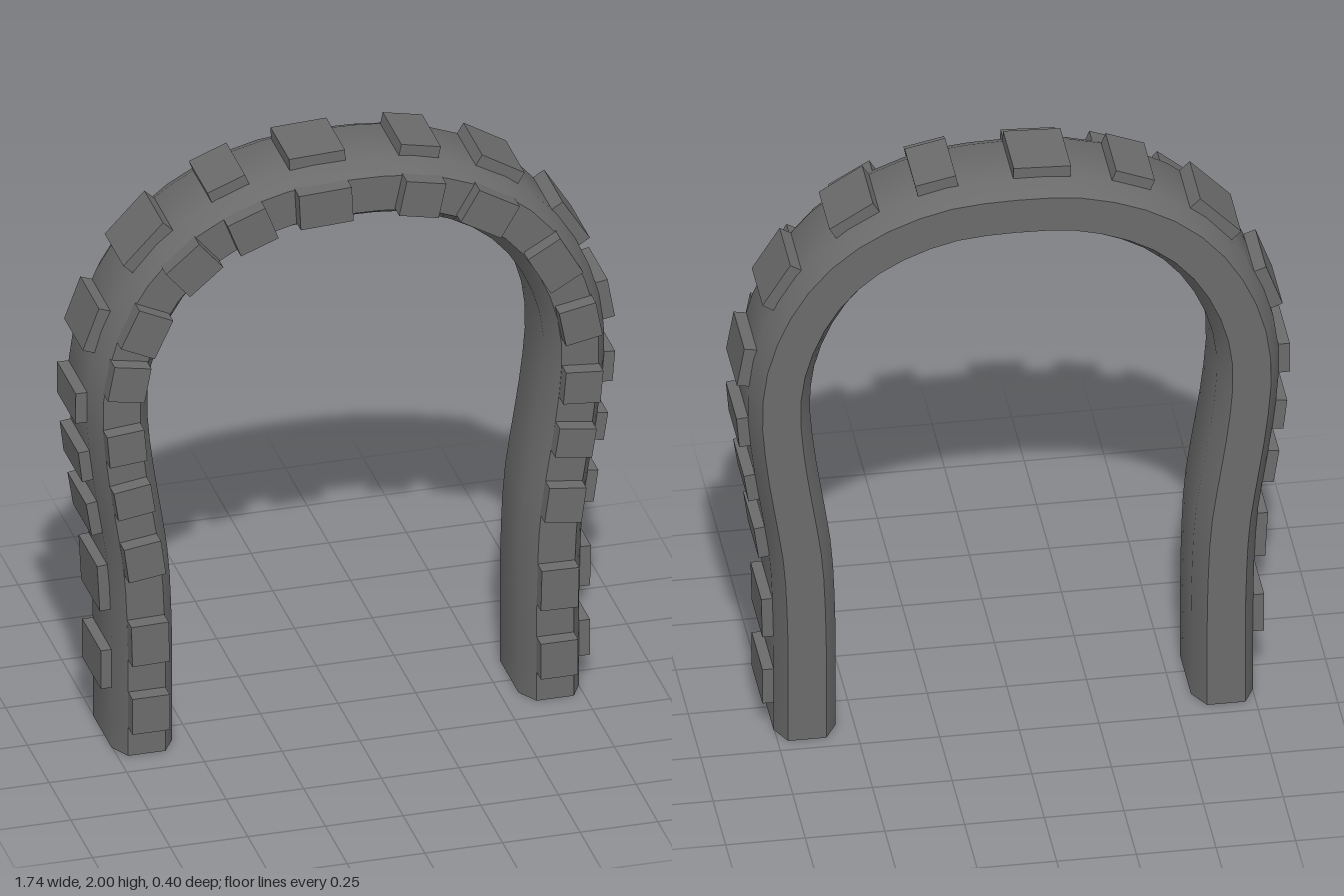
import * as THREE from 'three';
import { toCreasedNormals } from 'three/addons/utils/BufferGeometryUtils.js';

// Midline of one half of the arch, from the foot to just before the crown
const HALF = [
  [0.655, 0], [0.655, 0.2], [0.656, 0.38], [0.668, 0.65], [0.7, 0.87], [0.723, 1.03], [0.736, 1.19],
  [0.729, 1.31], [0.7, 1.43], [0.635, 1.57], [0.55, 1.68], [0.45, 1.76], [0.34, 1.815], [0.2, 1.857],
];
const OUT = 0.0975; // half thickness of the bar

// Bevelled bar section: [outward offset, z]
const SECTION = [
  [OUT, -0.13], [OUT, 0.085], [0.0625, 0.15], [-0.0575, 0.15],
  [-OUT, 0.085], [-OUT, -0.13], [-0.0575, -0.2], [0.0625, -0.2],
];

// Blocks: [x, y, length along the arch]
const OUTER_BLOCKS = [
  [0.75, 0.165, 0.125], [0.75, 0.415, 0.14], [0.77, 0.7, 0.11], [0.8, 0.91, 0.095], [0.83, 1.11, 0.105],
  [0.82, 1.345, 0.135], [0.715, 1.63, 0.165], [0.485, 1.835, 0.16], [0.24, 1.95, 0.13], [-0.093, 1.97, 0.18],
  [-0.365, 1.9, 0.13], [-0.615, 1.735, 0.185], [-0.785, 1.48, 0.15], [-0.83, 1.22, 0.105],
  [-0.815, 1.01, 0.105], [-0.79, 0.82, 0.115], [-0.76, 0.57, 0.16], [-0.75, 0.28, 0.135],
];
const LEG_FRONT_BLOCKS = [
  [0.655, 0.165, 0.125], [0.655, 0.415, 0.14], [0.675, 0.71, 0.12],
  [0.705, 0.92, 0.1], [0.73, 1.115, 0.11], [0.725, 1.335, 0.12],
];
const ARCH_FRONT_BLOCKS = [
  [0.645, 1.555, 0.15], [0.435, 1.77, 0.15], [0.215, 1.855, 0.13], [-0.09, 1.87, 0.17],
  [-0.33, 1.82, 0.13], [-0.515, 1.715, 0.14], [-0.67, 1.51, 0.14],
];

export function createModel() {
  const group = new THREE.Group();
  group.name = 'studdedArch';
  const grey = new THREE.MeshStandardMaterial({ color: 0x6b6b6b });
  grey.name = 'dark grey';

  const mirrored = HALF.map(([x, y]) => [-x, y]).reverse();
  const path = new THREE.CatmullRomCurve3(
    [...HALF, [0, 1.87], ...mirrored].map(([x, y]) => new THREE.Vector3(x, y, 0)));

  // Position, tangent and outward normal along the arch
  const STEPS = 48;
  const frameAt = (u) => {
    const p = path.getPointAt(u);
    const t = path.getTangentAt(u);
    if (u === 0 || u === 1) t.set(0, u === 0 ? 1 : -1, 0);
    return { p, n: new THREE.Vector3(t.y, -t.x, 0) };
  };

  // Bar: section swept along the midline, with end caps
  const pos = [], idx = [], k = SECTION.length;
  for (let i = 0; i <= STEPS; i++) {
    const { p, n } = frameAt(i / STEPS);
    for (const [o, z] of SECTION) pos.push(p.x + n.x * o, p.y + n.y * o, z);
  }
  for (let i = 0; i < STEPS; i++) {
    for (let j = 0; j < k; j++) {
      const a = i * k + j, b = i * k + (j + 1) % k;
      idx.push(a, a + k, b, b, a + k, b + k);
    }
  }
  const last = STEPS * k;
  for (let j = 1; j < k - 1; j++) {
    idx.push(0, j, j + 1, last, last + j + 1, last + j);
  }
  const geo = new THREE.BufferGeometry();
  geo.setAttribute('position', new THREE.Float32BufferAttribute(pos, 3));
  geo.setIndex(idx);
  const bar = new THREE.Mesh(toCreasedNormals(geo, 0.62), grey);
  bar.name = 'archBar';
  group.add(bar);

  // Frames used to snap the blocks to the nearest place on the midline
  const frames = Array.from({ length: 601 }, (_, i) => frameAt(i / 600));
  const addBlocks = (name, list, width, depth, offset, z) => {
    const set = new THREE.Group();
    set.name = name;
    for (const [x, y, length] of list) {
      const target = new THREE.Vector3(x, y, 0);
      const { p, n } = frames.reduce((best, f) =>
        f.p.distanceToSquared(target) < best.p.distanceToSquared(target) ? f : best);
      const block = new THREE.Mesh(new THREE.BoxGeometry(width, length, depth), grey);
      block.name = name.slice(0, -1);
      block.position.copy(p).addScaledVector(n, offset).setZ(z);
      block.rotation.z = Math.atan2(n.y, n.x);
      set.add(block);
    }
    group.add(set);
  };

  // Raised blocks around the outside and on the front
  const legs = [...LEG_FRONT_BLOCKS, ...LEG_FRONT_BLOCKS.map(([x, y, l]) => [-x, y, l])];
  addBlocks('outerBlocks', OUTER_BLOCKS, 0.065, 0.215, OUT + 0.0025, -0.0225);
  addBlocks('frontBlocks', [...legs, ...ARCH_FRONT_BLOCKS], 0.12, 0.08, 0.0025, 0.16);
  return group;
}
